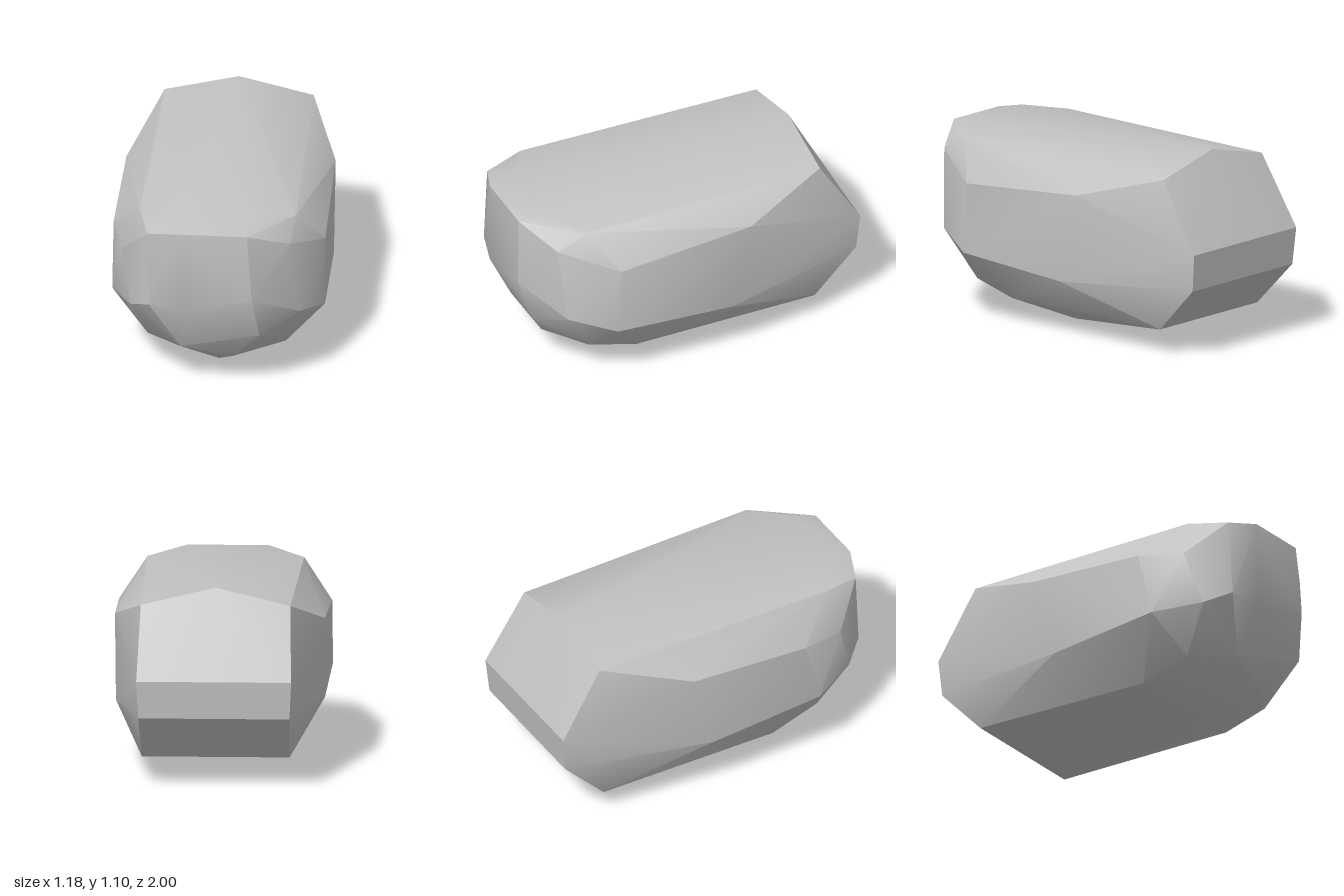
import * as THREE from 'three';
import { ConvexGeometry } from 'three/addons/geometries/ConvexGeometry.js';
import { toCreasedNormals } from 'three/addons/utils/BufferGeometryUtils.js';

const p = (x, y, z) => new THREE.Vector3(x, y, z);
const pair = (x, y, z) => [p(-x, y, z), p(x, y, z)];

export function createModel() {
  const group = new THREE.Group();
  group.name = 'boulder';

  const stone = new THREE.MeshStandardMaterial({ color: 0xc2c2c2 });
  stone.name = 'light grey stone';

  // flat chiselled back and the ridge above it
  const back = [
    p(0, 1.10, -0.76), ...pair(0.415, 1.0, -0.76),
    ...pair(0.43, 0.61, -1.0), ...pair(0.42, 0.40, -0.98), ...pair(0.41, 0.14, -0.73),
  ];
  // broad flanks
  const flanks = [
    p(0.58, 0.86, -0.26), p(0.59, 0.80, 0.54), p(0.59, 0.40, 0.56), p(0.58, 0.35, -0.14),
    p(-0.585, 0.84, -0.25), p(-0.595, 0.81, 0.46), p(-0.595, 0.44, 0.55), p(-0.58, 0.37, -0.12),
  ];
  // rounded nose
  const nose = [
    ...pair(0.19, 1.02, 0.98), ...pair(0.23, 1.045, 0.84),
    p(0.42, 0.92, 0.85), p(0.44, 1.01, 0.68), p(-0.37, 0.98, 0.91), p(-0.43, 1.01, 0.68),
    p(0.22, 0.63, 1.0), p(-0.18, 0.53, 0.985), p(-0.36, 0.55, 0.935),
    ...pair(0.47, 0.48, 0.81), p(-0.53, 0.78, 0.72),
    p(0.255, 0.37, 0.91), p(0.1, 0.175, 0.8), p(-0.19, 0.25, 0.85),
  ];
  // uneven underside
  const underside = [
    p(0.11, 0, 0.15), p(0, 0.03, 0.56), p(0.41, 0.14, 0.36), p(-0.40, 0.13, 0.36),
    p(-0.39, 0.22, 0.65), p(0.38, 0.20, 0.64),
  ];

  const hull = new ConvexGeometry([...back, ...flanks, ...nose, ...underside]);
  const rock = new THREE.Mesh(toCreasedNormals(hull, THREE.MathUtils.degToRad(30)), stone);
  rock.name = 'rock';
  group.add(rock);
  return group;
}
